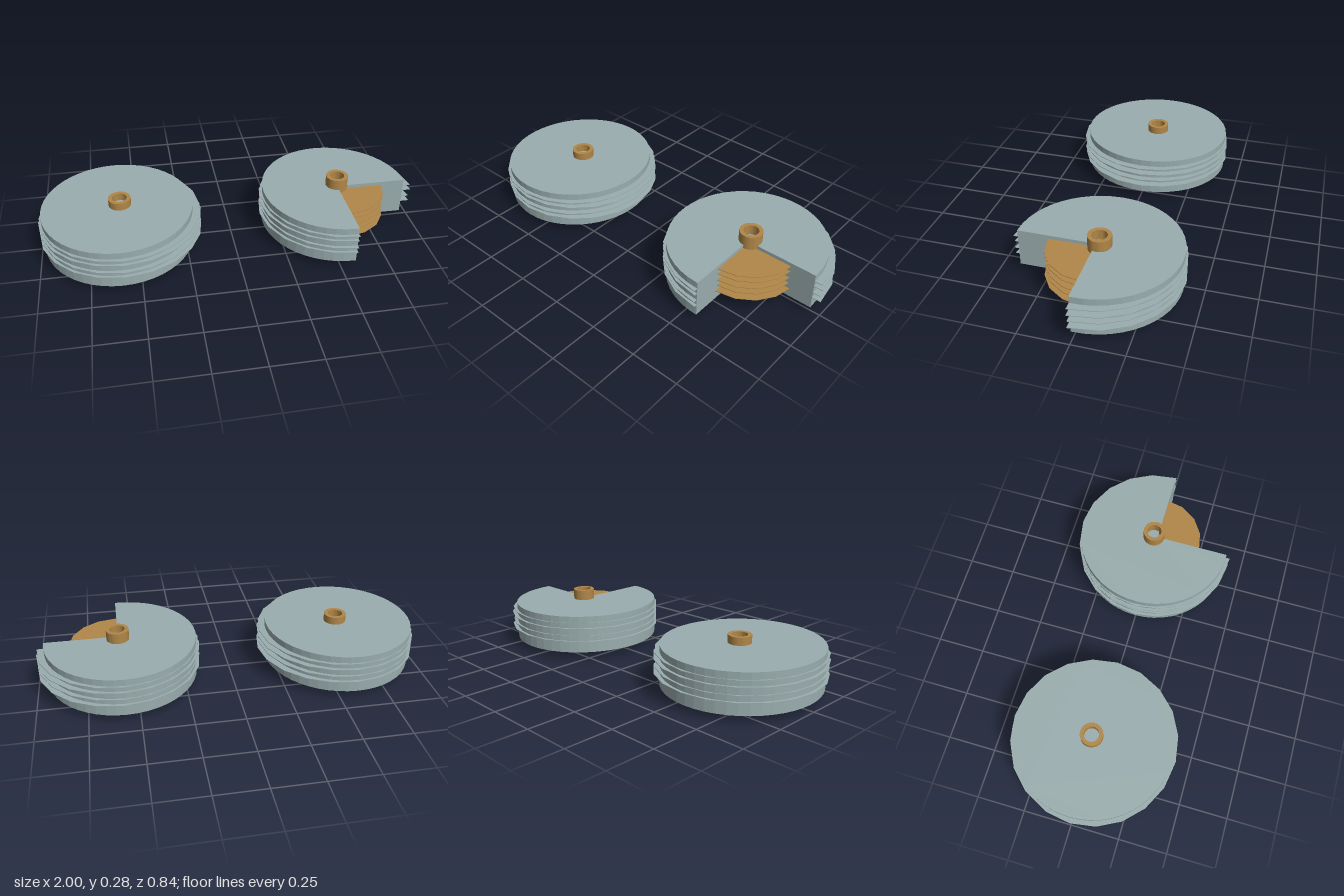
import * as THREE from 'three';
import { toCreasedNormals } from 'three/addons/utils/BufferGeometryUtils.js';

const shellMaterial = new THREE.MeshStandardMaterial({ color: 0x9aadae });
const copperMaterial = new THREE.MeshStandardMaterial({ color: 0xb08748 });

// Corner of the removed quarter (everything beyond it in +x and +z is open)
const CUT = { x: 0.577, z: 0.012 };

// Extrude a plan outline (y = -z) upward from y0
function raise(shape, y0, height, curveSegments = 12) {
  return new THREE.ExtrudeGeometry(shape, { depth: height, bevelEnabled: false, curveSegments })
    .rotateX(-Math.PI / 2)
    .translate(0, y0, 0);
}

// Many-sided elliptical slab, optionally with a quarter cut away
function slab(name, material, { cx, cz, rx, rz, sides, y0, height, cut }) {
  const points = [];
  const add = (x, z) => points.push(new THREE.Vector2(x, -z));
  if (cut) {
    add(cx + rx * Math.sqrt(1 - ((cut.z - cz) / rz) ** 2), cut.z);
    add(cut.x, cut.z);
    add(cut.x, cz + rz * Math.sqrt(1 - ((cut.x - cx) / rx) ** 2));
  }
  for (let i = 0; i < sides; i++) {
    // Start a quarter turn round so the walk resumes after the cut
    const a = Math.PI / 2 + (i / sides) * Math.PI * 2;
    const x = cx + rx * Math.cos(a);
    const z = cz + rz * Math.sin(a);
    const inCut = cut && (a > Math.PI * 2 - 0.01 || (x > cut.x - 0.004 && z > cut.z - 0.004));
    if (!inCut) add(x, z);
  }
  const mesh = new THREE.Mesh(raise(new THREE.Shape(points), y0, height), material);
  mesh.name = name;
  return mesh;
}

// Hollow centre post
function post(x, y0, y1) {
  const ring = new THREE.Shape().absarc(x, 0.009, 0.058, 0, Math.PI * 2, false);
  ring.holes.push(new THREE.Path().absarc(x, 0.009, 0.038, 0, Math.PI * 2, true));
  const mesh = new THREE.Mesh(toCreasedNormals(raise(ring, y0, y1 - y0, 16), 0.6), copperMaterial);
  mesh.name = 'centrePost';
  return mesh;
}

// Drum with four thin fins around its rim
function drum(name, cx, cut) {
  const group = new THREE.Group();
  group.name = name;
  group.add(slab('drumBody', shellMaterial, {
    cx: cx - 0.013, cz: -0.002, rx: 0.388, rz: 0.403, sides: 48, y0: 0.03, height: 0.2, cut,
  }));
  [0.093, 0.124, 0.164, 0.194].forEach((y, i) => {
    const wide = i % 2 === 0;
    group.add(slab('rimFin', shellMaterial, {
      cx, cz: wide ? -0.001 : 0.003, rx: wide ? 0.42 : 0.413, rz: 0.42,
      sides: 20, y0: y - 0.001, height: 0.003, cut,
    }));
  });
  return group;
}

export function createModel() {
  const model = new THREE.Group();
  model.name = 'finnedDrums';

  // Closed drum
  const closed = drum('closedDrum', -0.58, null);
  closed.add(post(-0.578, 0.2, 0.27));

  // Opened drum showing the inner plates
  const opened = drum('openedDrum', 0.578, CUT);
  opened.add(post(0.578, 0, 0.285));
  [0.075, 0.108, 0.141, 0.18, 0.21].forEach((y, i) => {
    const r = i === 0 ? 0.255 : 0.248;
    opened.add(slab('innerPlate', copperMaterial, {
      cx: 0.578, cz: 0, rx: r, rz: r, sides: 16, y0: y - 0.0015, height: 0.003,
    }));
  });

  model.add(closed, opened);
  return model;
}
